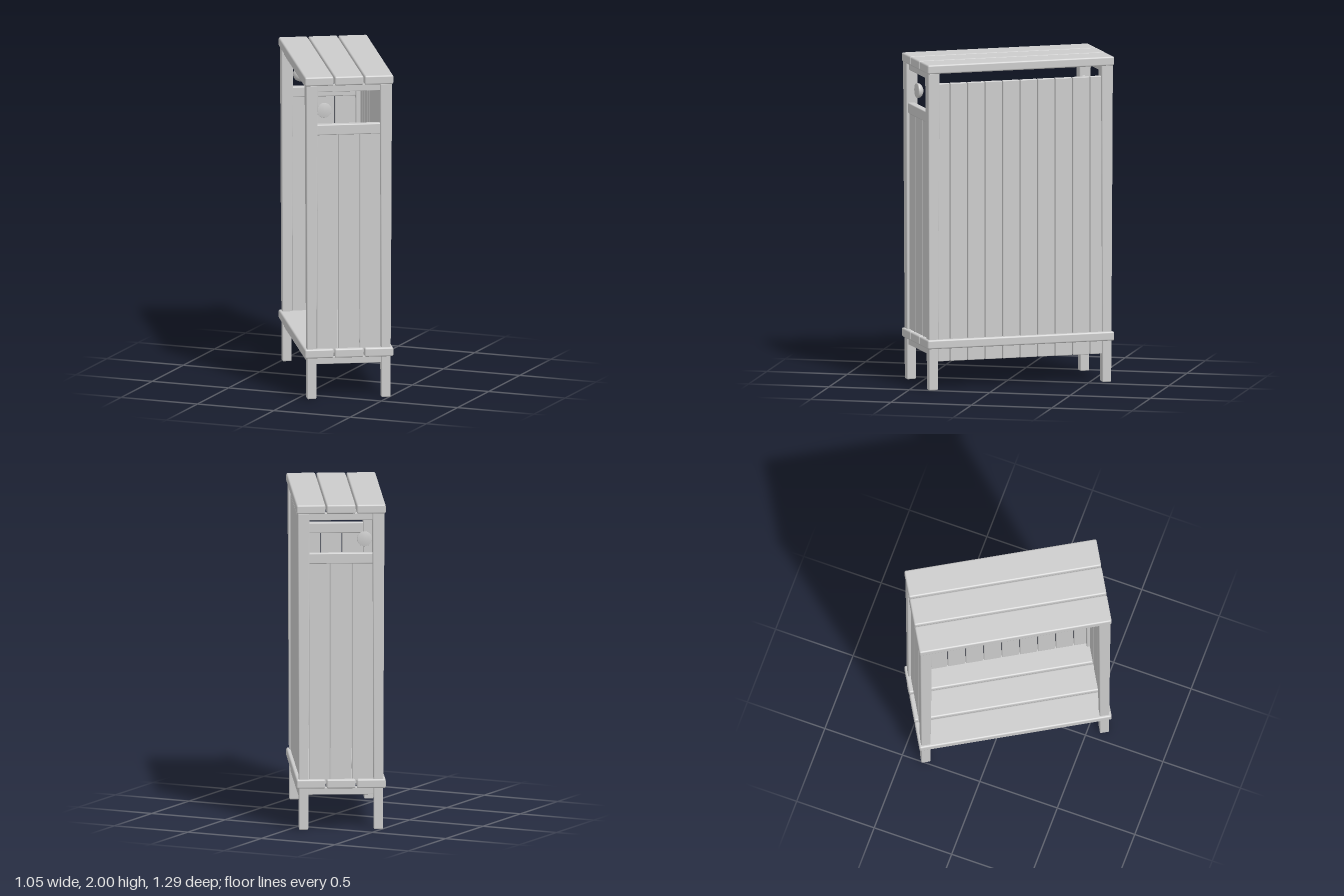
import * as THREE from 'three';
import { RoundedBoxGeometry } from 'three/addons/geometries/RoundedBoxGeometry.js';

export function createModel() {
  const model = new THREE.Group();
  model.name = 'slattedShelter';
  const wood = new THREE.MeshStandardMaterial({ color: 0xcccccc });
  wood.name = 'pale grey wood';

  // A softly rounded board given by its size and centre
  function board(name, w, h, d, x, y, z, radius = 0.004) {
    const mesh = new THREE.Mesh(new RoundedBoxGeometry(w, h, d, 2, radius), wood);
    mesh.name = name;
    mesh.position.set(x, y, z);
    model.add(mesh);
    return mesh;
  }

  // Roof and floor: three long planks each
  for (const [name, y] of [['roofPlank', 1.972], ['floorPlank', 0.283]]) {
    for (const i of [-1, 0, 1]) {
      board(name, 0.176, 0.056, 1.184, i * 0.183, y, 0, 0.01);
    }
  }

  // Corner posts, narrowing towards the feet
  for (const sx of [-1, 1]) {
    for (const sz of [-1, 1]) {
      const post = board('cornerPost', 0.073, 1.95, 0.073, sx * 0.227, 0.975, sz * 0.55, 0.007);
      const p = post.geometry.attributes.position;
      for (let i = 0; i < p.count; i++) {
        const k = 0.88 + 0.12 * (p.getY(i) / 0.975);
        p.setX(i, p.getX(i) * k);
        p.setZ(i, p.getZ(i) * k);
      }
    }
  }

  // Long wall: eight full slats between two narrower ones
  const pitch = 0.111;
  for (let i = 0; i < 8; i++) {
    board('wallSlat', 0.028, 1.705, pitch - 0.005, 0.235, 1.0275, (i - 3.5) * pitch);
  }
  for (const s of [-1, 1]) {
    board('wallEdgeSlat', 0.028, 1.705, 0.074, 0.235, 1.0275, s * 0.483);
  }

  // End walls: slats, sill rail under the opening, top and bottom rails, peg
  for (const s of [-1, 1]) {
    for (const i of [-1, 0, 1]) {
      board('endSlat', 0.126, 1.37, 0.026, i * 0.131, 0.965, s * 0.552);
    }
    board('sillRail', 0.4, 0.065, 0.045, 0, 1.668, s * 0.552, 0.006);
    board('topEndRail', 0.4, 0.045, 0.04, 0, 1.925, s * 0.55);
    board('bottomEndRail', 0.4, 0.045, 0.04, 0, 0.237, s * 0.55);

    // Domed peg head facing inwards
    const profile = [new THREE.Vector2(0, 0), new THREE.Vector2(0.044, 0)];
    for (let i = 0; i <= 8; i++) {
      const a = (i / 8) * Math.PI / 2;
      profile.push(new THREE.Vector2(0.046 * Math.cos(a), 0.008 + 0.034 * Math.sin(a)));
    }
    const peg = new THREE.Mesh(new THREE.LatheGeometry(profile, 24), wood);
    peg.name = 'coatPeg';
    peg.rotation.x = -s * Math.PI / 2;
    peg.position.set(-0.145, 1.78, s * 0.537);
    model.add(peg);
  }

  // Long rails along the open side
  for (const y of [0.237, 1.925]) {
    board('openSideRail', 0.04, 0.045, 1.04, -0.227, y, 0);
  }

  model.rotation.y = Math.PI / 6;
  return model;
}
